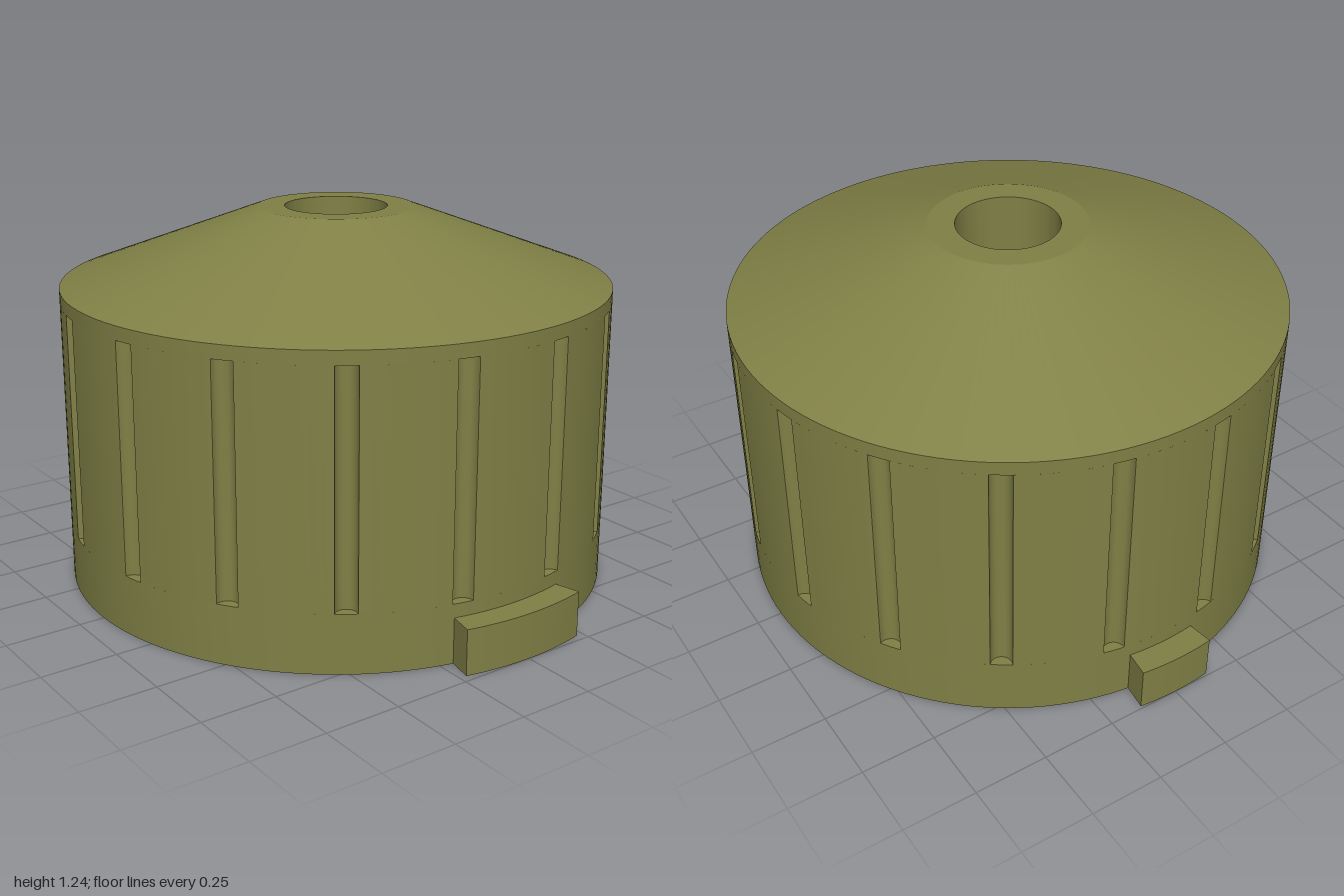
import * as THREE from 'three';
import { toCreasedNormals } from 'three/addons/utils/BufferGeometryUtils.js';

const R = 0.915, GROOVES = 16, GROOVE_R = 0.035;
const GROOVE_LOW = 0.195, GROOVE_HIGH = 0.95;

export function createModel() {
  const group = new THREE.Group();
  const olive = new THREE.MeshStandardMaterial({ color: 0x808046 });
  olive.name = 'olive';

  const add = (name, geometry) => {
    const mesh = new THREE.Mesh(toCreasedNormals(geometry, 0.3), olive);
    mesh.name = name;
    group.add(mesh);
  };
  // Flat outline raised upright between two heights
  const upright = (shape, low, high) =>
    new THREE.ExtrudeGeometry(shape, { depth: high - low, bevelEnabled: false, curveSegments: 64 })
      .rotateX(-Math.PI / 2).translate(0, low, 0);
  const polar = (r, a) => new THREE.Vector2(r * Math.cos(a), r * Math.sin(a));

  // Shell: sloped top, centre hole, stepped inside and bottom rim; open where the grooved band sits
  const profile = [
    [0.85, GROOVE_HIGH], [R, GROOVE_HIGH], [R, 0.995], [0.26, 1.24], [0.17, 1.24],
    [0.17, 1.0], [0.52, 1.0], [0.52, 0.67], [0.78, 0.67], [0.78, 0.57],
    [0.825, 0.57], [0.825, 0], [R, 0], [R, GROOVE_LOW], [0.85, GROOVE_LOW],
  ].map(([x, y]) => new THREE.Vector2(x, y));
  add('shell', new THREE.LatheGeometry(profile, 128));

  // Grooved band: round outline with half-round notches
  const outline = [];
  const step = (Math.PI * 2) / GROOVES, half = GROOVE_R / R;
  for (let i = 0; i < GROOVES; i++) {
    const centre = (i + 0.5) * step;
    for (let j = 0; j <= 12; j++) {
      const t = (j / 12) * Math.PI;
      outline.push(polar(R - GROOVE_R * Math.sin(t), centre - half * Math.cos(t)));
    }
    for (let j = 1; j < 8; j++) {
      outline.push(polar(R, centre + half + (j / 8) * (step - 2 * half)));
    }
  }
  const band = new THREE.Shape(outline);
  band.holes.push(new THREE.Path().absarc(0, 0, 0.85, 0, Math.PI * 2, true));
  add('groovedBand', upright(band, GROOVE_LOW, GROOVE_HIGH));

  // Locking tabs: a wide one on the left side, a narrow one on the right
  const tab = (name, middle, halfAngle) => {
    const shape = new THREE.Shape();
    shape.absarc(0, 0, 1, middle - halfAngle, middle + halfAngle, false);
    shape.absarc(0, 0, 0.9, middle + halfAngle, middle - halfAngle, true);
    add(name, upright(shape, 0, 0.15));
  };
  tab('wideTab', 0, 0.228);
  tab('narrowTab', Math.PI, 0.132);

  return group;
}
